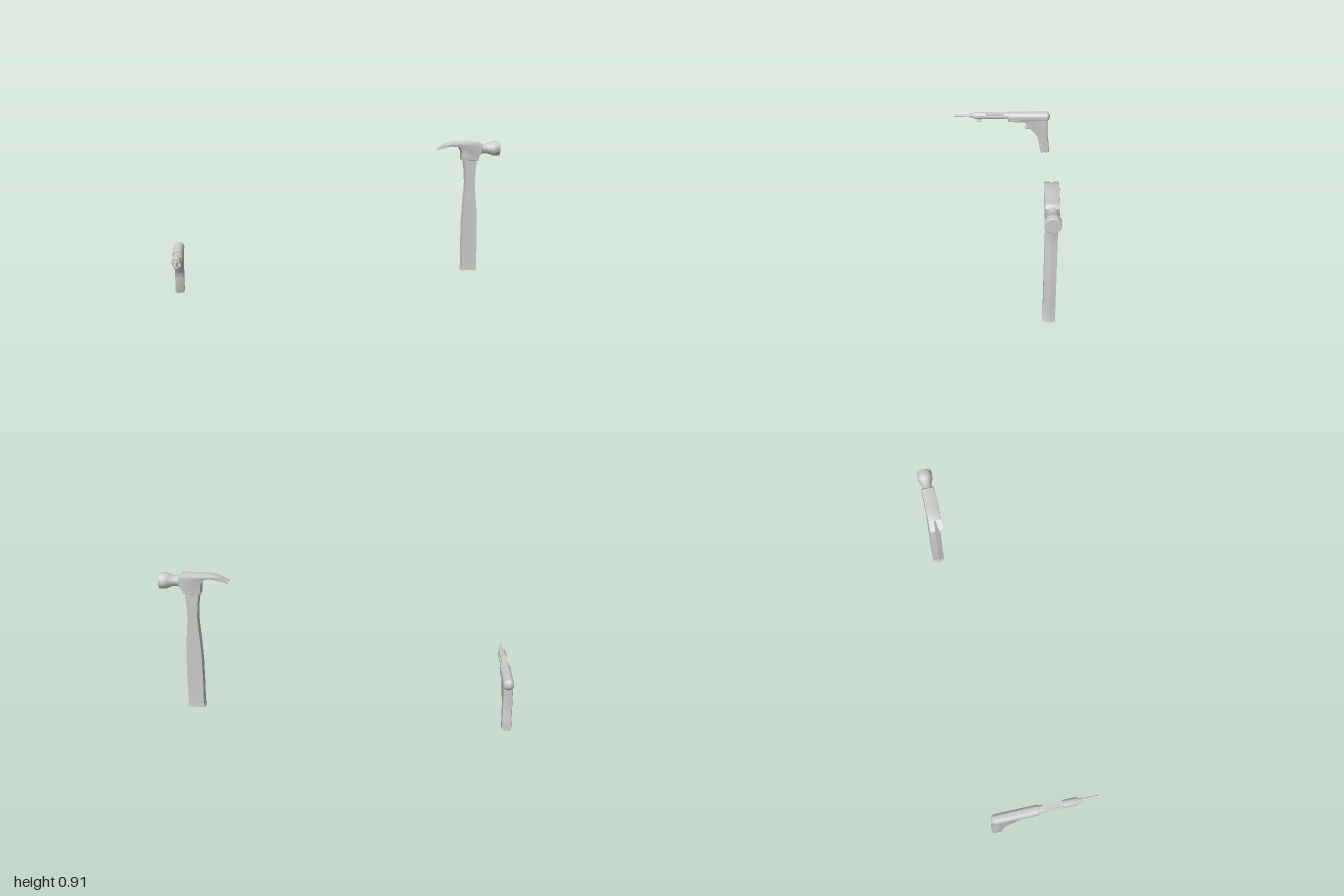
import * as THREE from 'three';
import { toCreasedNormals } from 'three/addons/utils/BufferGeometryUtils.js';

const mat = new THREE.MeshStandardMaterial({ color: 0xcccccc, side: THREE.DoubleSide });
const V2 = (p) => new THREE.Vector2(p[0], p[1]);

function add(group, name, geo, crease = 0.6) {
  const mesh = new THREE.Mesh(toCreasedNormals(geo, crease), mat);
  mesh.name = name;
  group.add(mesh);
  return mesh;
}

// Closed skin through rings of equal point count, with flat ends
function loft(rings) {
  const n = rings[0].length, pos = rings.flat(2), idx = [];
  for (let r = 0; r < rings.length - 1; r++)
    for (let i = 0; i < n; i++) {
      const a = r * n + i, b = r * n + (i + 1) % n;
      idx.push(a, b, b + n, a, b + n, a + n);
    }
  const last = (rings.length - 1) * n;
  for (let i = 1; i < n - 1; i++) idx.push(0, i + 1, i, last, last + i, last + i + 1);
  const g = new THREE.BufferGeometry();
  g.setAttribute('position', new THREE.Float32BufferAttribute(pos, 3));
  g.setIndex(idx);
  g.computeVertexNormals();
  return g;
}

// Shape extruded symmetrically about its plane; the bevel stays inside the outline
function slab(shape, width, bevel) {
  const g = new THREE.ExtrudeGeometry(shape, {
    depth: width - 2 * bevel, bevelEnabled: bevel > 0, bevelSize: bevel,
    bevelThickness: bevel, bevelOffset: -bevel, bevelSegments: 2, curveSegments: 8,
  });
  return g.translate(0, 0, -width / 2 + bevel);
}

// Turned part along z from [radius, z] points
const turnZ = (pts, seg = 24) => new THREE.LatheGeometry(pts.map(V2), seg).rotateX(Math.PI / 2);

function makeHammer() {
  const g = new THREE.Group();
  g.name = 'hammer';

  // Handle: [y, left edge, right edge, half thickness]
  const handle = [
    [0.11, 0.763, 0.873, 0.034], [0.128, 0.769, 0.869, 0.033], [0.25, 0.767, 0.871, 0.033],
    [0.4, 0.768, 0.87, 0.033], [0.5, 0.773, 0.865, 0.033], [0.6, 0.781, 0.856, 0.033],
    [0.66, 0.784, 0.853, 0.033], [0.74, 0.779, 0.857, 0.033], [0.81, 0.769, 0.863, 0.033],
  ].map(([y, a, b, h]) => [
    [a, y, 0], [a + 0.007, y, h], [b - 0.007, y, h], [b, y, 0], [b - 0.007, y, -h], [a + 0.007, y, -h],
  ]);
  handle.forEach((r) => r.reverse());
  add(g, 'handle', loft(handle), 0.3);

  // Head block with the root of the claw
  const s = new THREE.Shape();
  s.moveTo(0.765, 0.798);
  s.lineTo(0.865, 0.798);
  s.quadraticCurveTo(0.868, 0.83, 0.888, 0.842);
  s.lineTo(0.888, 0.89);
  s.lineTo(0.872, 0.908);
  s.lineTo(0.74, 0.908);
  s.quadraticCurveTo(0.7, 0.907, 0.668, 0.896);
  s.lineTo(0.668, 0.879);
  s.quadraticCurveTo(0.7, 0.888, 0.73, 0.885);
  s.quadraticCurveTo(0.765, 0.875, 0.765, 0.83);
  add(g, 'headBlock', slab(s, 0.075, 0.004));

  // Claw prongs: [x, top, bottom, inner z, outer z]
  const prong = [
    [0.668, 0.896, 0.879, 0.001, 0.0375], [0.65, 0.888, 0.874, 0.006, 0.0375],
    [0.63, 0.877, 0.868, 0.009, 0.0375], [0.612, 0.865, 0.862, 0.012, 0.0375],
  ];
  for (const side of [1, -1]) {
    const rings = prong.map(([x, t, b, i, o]) => {
      const r = [[x, t, side * i], [x, t, side * o], [x, b, side * o], [x, b, side * i]];
      return side > 0 ? r : r.reverse();
    });
    add(g, 'clawProng', loft(rings));
  }

  // Neck and octagonal striking face, turned along x
  const k = 1 / Math.cos(Math.PI / 8);
  const pts = [[0, 0.86], [0.034, 0.86], [0.03, 0.885], [0.027, 0.908], [0.03, 0.928], [0.037, 0.946],
    [0.042, 0.958], [0.043, 0.964], [0.043, 0.996], [0.04, 1], [0, 1]];
  const face = new THREE.LatheGeometry(pts.map(([r, y]) => V2([r * k, y])), 8, Math.PI / 8)
    .rotateZ(-Math.PI / 2).translate(0, 0.866, 0);
  add(g, 'strikingFace', face, 0.85);

  g.position.z = -0.277;
  return g;
}

function makeNailDriver() {
  const g = new THREE.Group();
  g.name = 'nailDriver';

  // Rear housing with domed end cap
  add(g, 'rearHousing', turnZ([[0, -0.32], [0.012, -0.319], [0.022, -0.314], [0.027, -0.307], [0.031, -0.303],
    [0.031, -0.044], [0.028, -0.04], [0, -0.04]])).position.y = 0.282;

  // Underside housing and pistol grip
  const s = new THREE.Shape();
  s.moveTo(-0.04, 0.275);
  s.lineTo(-0.042, 0.25);
  s.lineTo(-0.047, 0.247);
  s.lineTo(-0.145, 0.247);
  s.quadraticCurveTo(-0.162, 0.24, -0.172, 0.215);
  s.lineTo(-0.236, 0.138);
  s.quadraticCurveTo(-0.246, 0.12, -0.249, 0.09);
  s.quadraticCurveTo(-0.253, 0.05, -0.267, 0.002);
  s.lineTo(-0.32, 0.009);
  s.quadraticCurveTo(-0.319, 0.06, -0.31, 0.11);
  s.quadraticCurveTo(-0.302, 0.17, -0.305, 0.28);
  add(g, 'grip', slab(s, 0.054, 0.008).rotateY(-Math.PI / 2));

  // Trigger
  const t = new THREE.Shape([[-0.148, 0.25], [-0.16, 0.23], [-0.163, 0.21], [-0.159, 0.198], [-0.152, 0.19],
    [-0.185, 0.188], [-0.2, 0.184], [-0.215, 0.19], [-0.19, 0.25]].map(V2));
  add(g, 'trigger', slab(t, 0.024, 0.003).rotateY(-Math.PI / 2));

  // Barrel: full rounds either side of a stepped, flat-topped waist
  const by = 0.286;
  add(g, 'barrelRear', turnZ([[0, -0.06], [0.024, -0.06], [0.024, -0.015], [0, -0.015]])).position.y = by;
  add(g, 'barrelFront', turnZ([[0, 0.105], [0.024, 0.105], [0.024, 0.187], [0.022, 0.19], [0, 0.19]])).position.y = by;
  const w = new THREE.Shape();
  w.absarc(0, 0, 0.024, Math.PI - 0.16, 2 * Math.PI + 0.16, false);
  w.lineTo(0.014, 0.004);
  w.lineTo(0.014, 0.017);
  w.lineTo(-0.014, 0.017);
  w.lineTo(-0.014, 0.004);
  add(g, 'barrelWaist', slab(w, 0.122, 0)).position.set(0, by, 0.045);

  // Nose collar and driving rod
  add(g, 'noseCollar', turnZ([[0, 0.185], [0.014, 0.185], [0.014, 0.214], [0.012, 0.217], [0, 0.217]])).position.y = by;
  add(g, 'drivingRod', turnZ([[0, 0.21], [0.008, 0.21], [0.008, 0.32], [0, 0.32]], 16)).position.y = by;

  // Locking knob under the barrel
  const knob = [[0, 0.242], [0.015, 0.242], [0.017, 0.244], [0.017, 0.251], [0.011, 0.254], [0.011, 0.268], [0, 0.268]];
  add(g, 'lockingKnob', new THREE.LatheGeometry(knob.map(V2), 16)).position.z = 0.154;

  g.position.x = -0.969;
  return g;
}

export function createModel() {
  const model = new THREE.Group();
  model.name = 'handTools';
  model.add(makeHammer(), makeNailDriver());
  return model;
}
